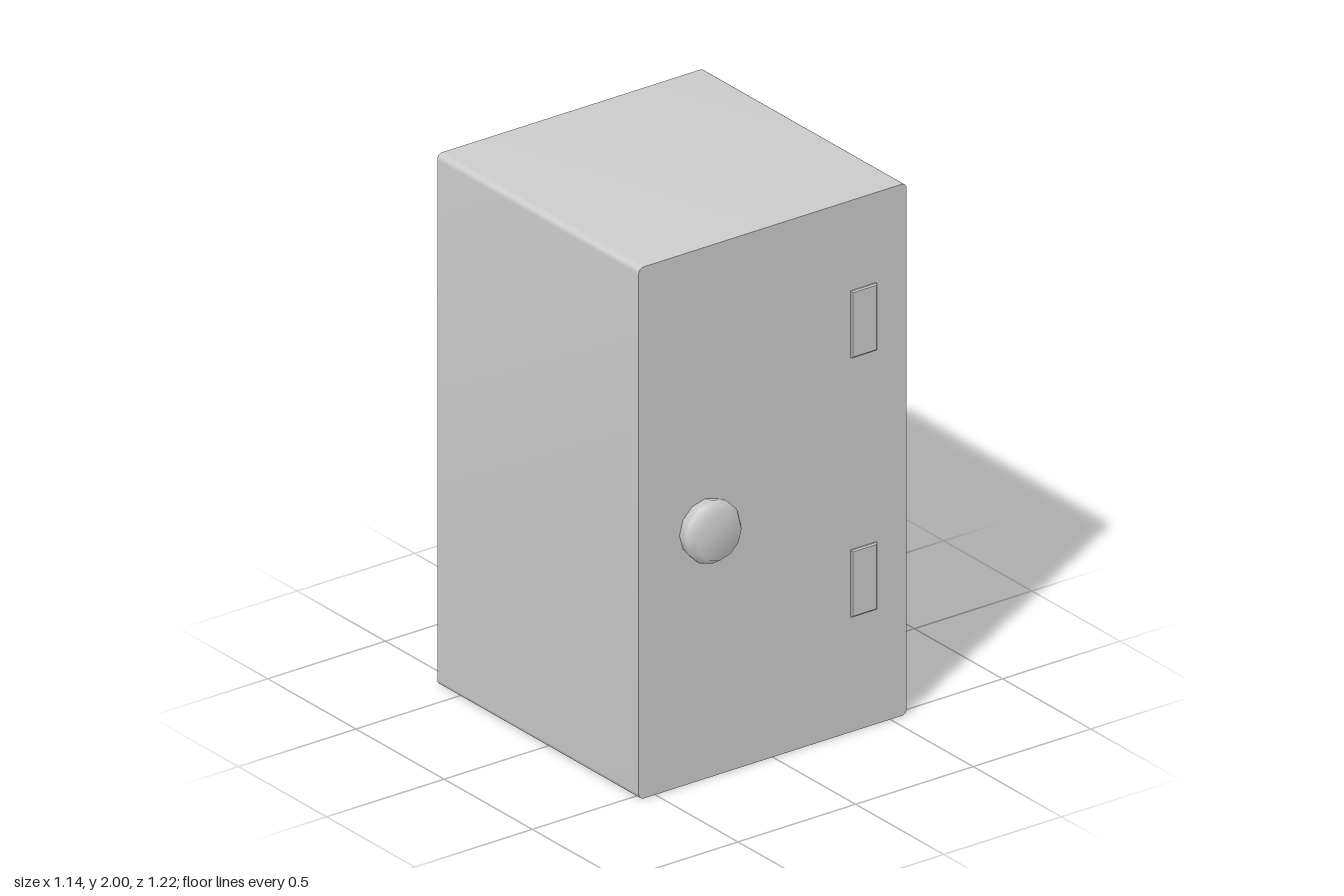
import * as THREE from 'three';
import { toCreasedNormals } from 'three/addons/utils/BufferGeometryUtils.js';

const grey = new THREE.MeshStandardMaterial({ color: 0xcccccc });

function add(group, name, geometry, x, y, z) {
  const mesh = new THREE.Mesh(geometry, grey);
  mesh.name = name;
  mesh.position.set(x, y, z);
  group.add(mesh);
}

// Rectangle centred on the origin with rounded corners
function roundedRect(w, h, r) {
  const s = new THREE.Shape();
  const x = w / 2 - r, y = h / 2 - r;
  s.absarc(x, y, r, 0, Math.PI / 2);
  s.absarc(-x, y, r, Math.PI / 2, Math.PI);
  s.absarc(-x, -y, r, Math.PI, Math.PI * 1.5);
  s.absarc(x, -y, r, Math.PI * 1.5, Math.PI * 2);
  s.closePath();
  return s;
}

export function createModel() {
  const model = new THREE.Group();
  model.name = 'safe';
  const front = 0.53, back = -0.612;

  // Cabinet: rounded long edges, sharp front and back rims
  const cabinet = new THREE.ExtrudeGeometry(roundedRect(1.14, 2, 0.022), {
    depth: front - back, bevelEnabled: false, curveSegments: 4,
  });
  add(model, 'cabinet', toCreasedNormals(cabinet, 0.6), 0, 1, back);

  // Two thin hinge plates with a narrow chamfer
  const plate = new THREE.Shape([[-1, -1], [1, -1], [1, 1], [-1, 1]]
    .map(([x, y]) => new THREE.Vector2(x * 0.05, y * 0.121)));
  const hinge = new THREE.ExtrudeGeometry(plate, {
    depth: 0.01, bevelThickness: 0.005, bevelSize: 0.005, bevelSegments: 1,
  });
  for (const [name, y] of [['upperHinge', 1.535], ['lowerHinge', 0.56]]) {
    add(model, name, hinge, 0.385, y, front - 0.005);
  }

  // Twelve-sided dial knob with a softly shaded rim
  const profile = [[0.108, -0.005], [0.109, 0.005], [0.117, 0.035], [0.117, 0.047], [0.094, 0.082], [0, 0.082]]
    .map(([r, y]) => new THREE.Vector2(r, y));
  const knob = new THREE.LatheGeometry(profile, 12);
  knob.rotateX(Math.PI / 2);
  add(model, 'knob', knob, -0.288, 0.945, front);

  return model;
}
